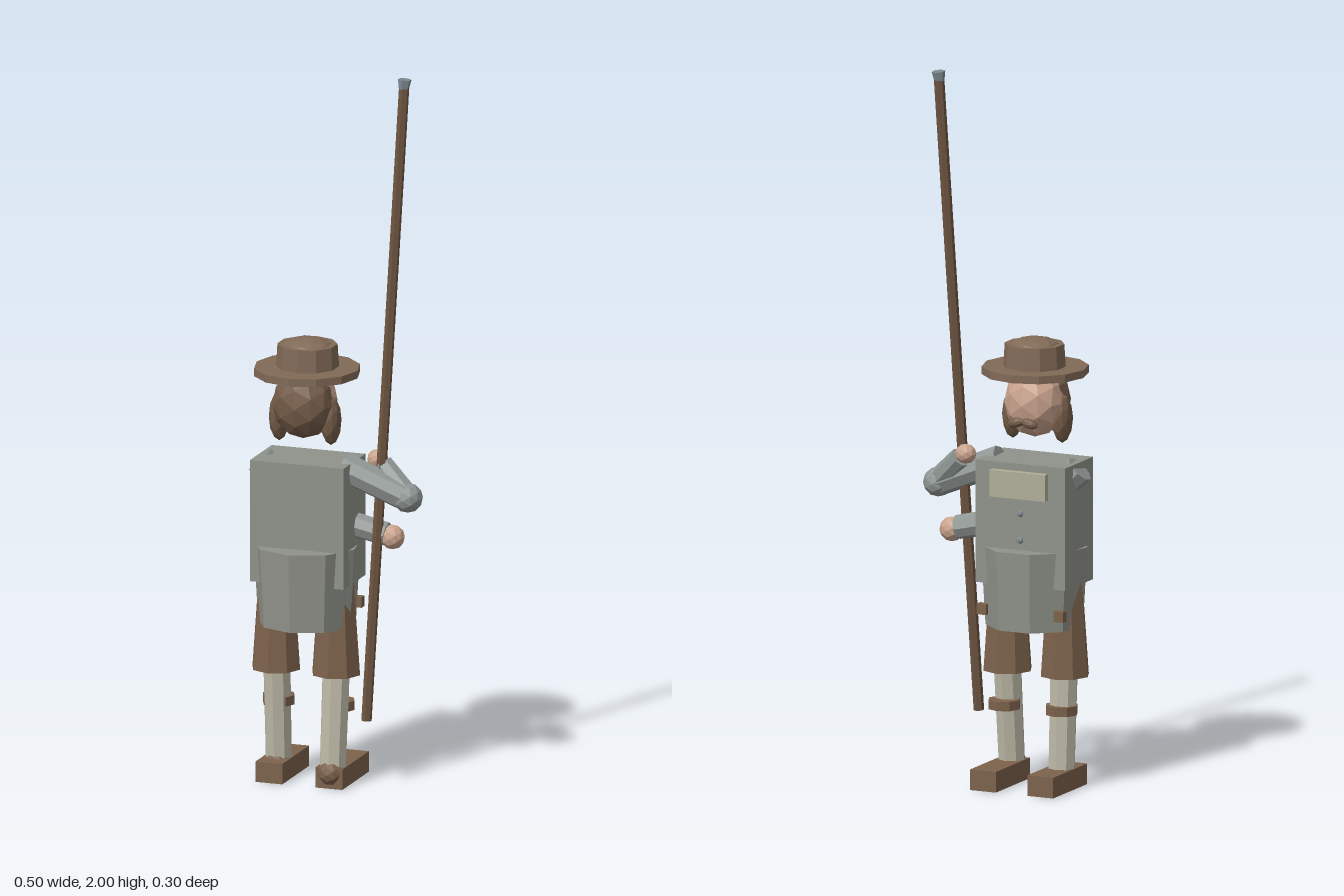
import * as THREE from 'three';

const mat = (name, color) => {
  const m = new THREE.MeshStandardMaterial({ color, flatShading: true });
  m.name = name;
  return m;
};

export function createModel() {
  const coat = mat('coat grey', 0x90938a);
  const sleeve = mat('sleeve grey', 0x8f9693);
  const cream = mat('bib cream', 0xb0ae98);
  const stocking = mat('stocking cream', 0xbcb8a6);
  const leather = mat('leather brown', 0x7c624c);
  const felt = mat('felt brown', 0x816a57);
  const hairMat = mat('hair brown', 0x735b47);
  const skin = mat('skin', 0xc9a38d);
  const wood = mat('pole wood', 0x6e5541);
  const steel = mat('steel', 0x7f8b90);

  const root = new THREE.Group();
  root.name = 'pikeman';
  const CX = -0.083; // centre line of the body

  const add = (name, geo, material, x, y, z) => {
    const m = new THREE.Mesh(geo, material);
    m.name = name;
    m.position.set(x, y, z);
    root.add(m);
    return m;
  };
  const box = (name, material, w, h, d, x, y, z) =>
    add(name, new THREE.BoxGeometry(w, h, d), material, x, y, z);
  const drum = (name, material, rTop, rBottom, h, sides, x, y, z) =>
    add(name, new THREE.CylinderGeometry(rTop, rBottom, h, sides), material, x, y, z);
  const ball = (name, material, rx, ry, rz, x, y, z, detail = 1) => {
    const m = add(name, new THREE.IcosahedronGeometry(1, detail), material, x, y, z);
    m.scale.set(rx, ry, rz);
    return m;
  };
  // Tapered cylinder running from point a to point b
  const limb = (name, material, a, b, ra, rb, sides = 8) => {
    const from = new THREE.Vector3(...a), to = new THREE.Vector3(...b);
    const dir = to.clone().sub(from);
    const m = drum(name, material, rb, ra, dir.length(), sides, 0, 0, 0);
    m.position.copy(from).add(to).multiplyScalar(0.5);
    m.quaternion.setFromUnitVectors(new THREE.Vector3(0, 1, 0), dir.normalize());
    return m;
  };

  // Coat body, flared skirt, bib and buttons
  box('coatBody', coat, 0.275, 0.345, 0.174, CX, 0.7475, -0.005);
  drum('coatSkirt', coat, 0.15, 0.137, 0.224, 9, CX, 0.565, 0);
  box('bib', cream, 0.17, 0.075, 0.024, CX, 0.862, -0.101);
  for (const y of [0.78, 0.705]) ball('button', steel, 0.01, 0.01, 0.01, CX, y, -0.094, 0);

  // Head, hair and moustache
  ball('head', skin, 0.085, 0.1, 0.085, CX, 1.08, -0.002);
  ball('backHair', hairMat, 0.088, 0.097, 0.075, CX, 1.08, 0.032);
  for (const s of [-1, 1]) {
    ball('sideHair', hairMat, 0.028, 0.07, 0.036, CX + s * 0.076, 1.036, 0.015);
    ball('moustache', hairMat, 0.026, 0.014, 0.015, CX + s * 0.02, 1.032, -0.077).rotation.z = -s * 0.25;
  }

  // Hat
  drum('hatBrim', felt, 0.148, 0.148, 0.022, 12, CX, 1.169, 0);
  drum('hatCrown', felt, 0.083, 0.087, 0.065, 10, CX, 1.211, -0.004);
  ball('hatDome', felt, 0.073, 0.03, 0.073, CX, 1.232, -0.003);

  // Legs: breeches, stockings, garters, ankles, shoes and hem buckles
  for (const s of [-1, 1]) {
    const x = CX + s * 0.088;
    const ankleZ = s > 0 ? 0.035 : -0.015;
    drum('breeches', leather, 0.05, 0.07, 0.28, 8, x, 0.455, 0.006);
    limb('stocking', stocking, [x, 0.035, ankleZ], [x, 0.36, 0.003], 0.038, 0.04, 8);
    drum('garter', leather, 0.046, 0.046, 0.026, 8, x, 0.222, -0.014);
    ball('ankle', leather, 0.037, 0.037, 0.037, x, 0.042, ankleZ + 0.012);
    box('shoe', leather, 0.079, 0.058, 0.213, x, 0.029, -0.041);
    box('hemBuckle', leather, 0.03, 0.03, 0.022, CX + s * 0.118, 0.5, -0.085);
  }

  // Left arm, bent outwards with the hand high on the pole
  const elbow = [0.208, 0.828, -0.013];
  limb('upperArm', sleeve, [0.02, 0.905, -0.002], elbow, 0.042, 0.04);
  ball('elbow', sleeve, 0.042, 0.042, 0.044, ...elbow);
  limb('forearm', sleeve, elbow, [0.125, 0.91, -0.04], 0.036, 0.03);
  ball('hand', skin, 0.03, 0.028, 0.028, 0.108, 0.922, -0.045);

  // Right arm, passing across the body to the lower grip
  limb('upperArm', sleeve, [-0.222, 0.902, -0.004], [-0.1, 0.775, -0.025], 0.042, 0.04);
  limb('forearm', sleeve, [-0.1, 0.765, -0.03], [0.135, 0.712, -0.04], 0.036, 0.034);
  ball('hand', skin, 0.035, 0.035, 0.033, 0.153, 0.705, -0.04);

  // Long pole with a metal cap
  limb('pole', wood, [0.097, 0.19, 0.015], [0.173, 1.985, -0.08], 0.0145, 0.0145, 6);
  limb('poleCap', steel, [0.172, 1.972, -0.079], [0.174, 2.0, -0.081], 0.014, 0.019, 6);

  return root;
}
